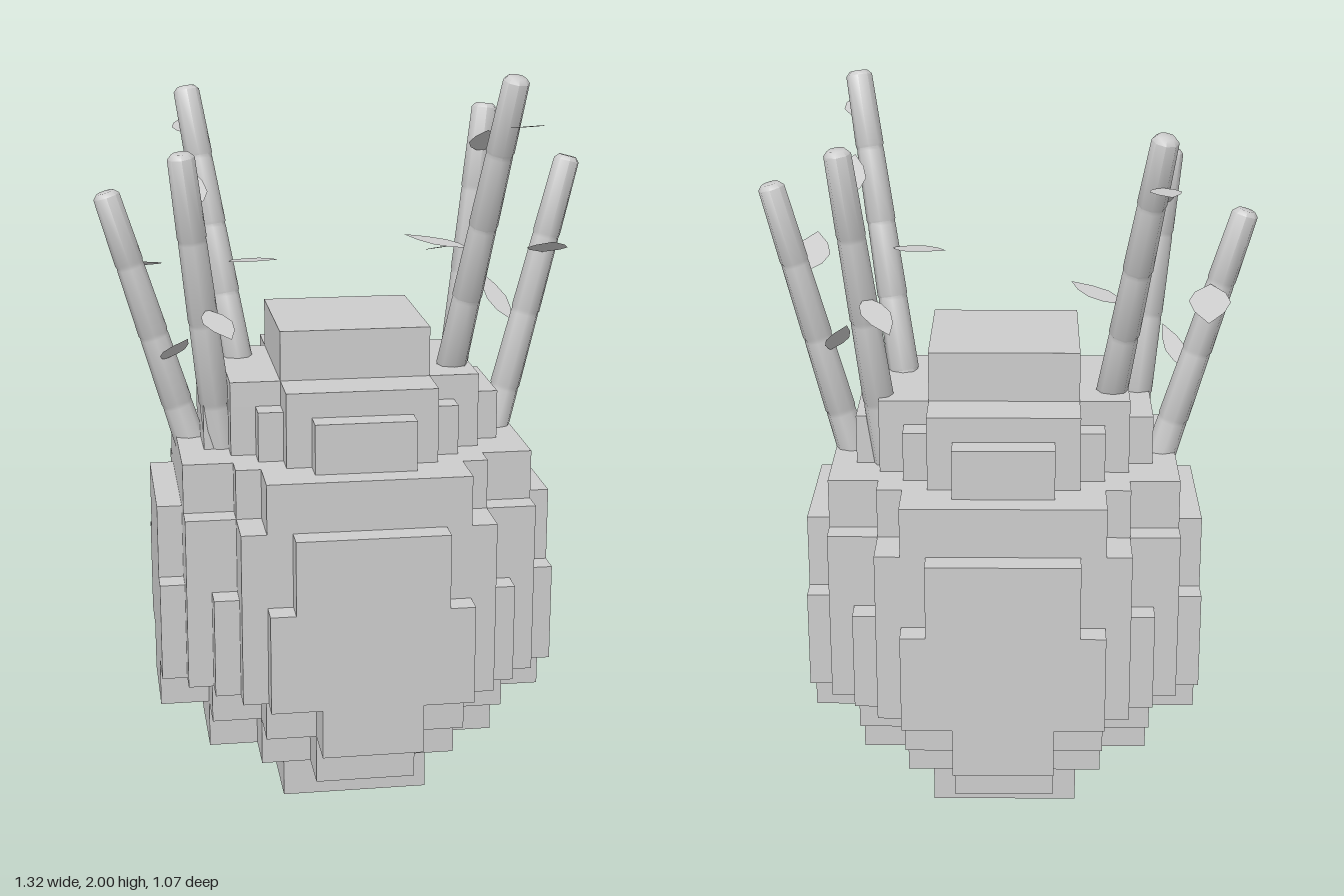
import * as THREE from 'three';
import { toCreasedNormals } from 'three/addons/utils/BufferGeometryUtils.js';

const VOXEL = 1 / 15;
const EGG_X = 0.0075;

// Egg layers: bottom, top, and the stepped outline corners of one quadrant (in voxels)
const LAYERS = [
  [0, 2, [[3, 3]]],
  [2, 4, [[6, 2], [4, 4], [2, 6]]],
  [4, 6, [[8, 2], [6, 4], [4, 6], [2, 8]]],
  [6, 10, [[8, 4], [7, 5], [6, 6], [5, 7], [4, 8]]],
  [10, 13, [[8, 3], [7, 5], [5, 7], [3, 8]]],
  [13, 15, [[7, 4], [5, 5], [4, 7]]],
  [15, 17, [[6, 2], [5, 3], [4, 4], [3, 5], [2, 6]]],
  [17, 18, [[5, 3], [3, 5]]],
  [18, 20, [[3, 3]]],
];

// Stalks: foot, top, foot radius, top radius, leaves [base, tip, width]
const STALKS = [
  { foot: [0.26, 1.0, 0.03], top: [0.41, 1.99, 0.268], leaves: [
    [[0.4, 1.86, 0.26], [0.44, 1.89, 0.44], 0.08],
    [[0.32, 1.53, 0.14], [0.165, 1.55, 0.025], 0.08]] },
  { foot: [-0.25, 1.0, -0.05], top: [-0.395, 1.92, -0.28], leaves: [
    [[-0.385, 1.79, -0.27], [-0.4, 1.81, -0.465], 0.08],
    [[-0.3, 1.455, -0.16], [-0.17, 1.48, -0.025], 0.08]] },
  { foot: [-0.395, 0.9, -0.02], top: [-0.63, 1.675, -0.02], leaves: [
    [[-0.54, 1.48, -0.05], [-0.52, 1.43, -0.25], 0.11],
    [[-0.49, 1.22, 0.01], [-0.43, 1.31, 0.15], 0.065]] },
  { foot: [-0.333, 0.9, 0.09], top: [-0.44, 1.8, 0.17], leaves: [
    [[-0.41, 1.65, 0.14], [-0.4, 1.73, -0.01], 0.08],
    [[-0.38, 1.39, 0.16], [-0.33, 1.35, 0.34], 0.08]] },
  { foot: [0.315, 0.95, -0.115], top: [0.43, 1.87, -0.205], leaves: [
    [[0.41, 1.74, -0.17], [0.4, 1.82, -0.015], 0.08],
    [[0.37, 1.48, -0.18], [0.295, 1.43, -0.36], 0.08]] },
  { foot: [0.405, 0.9, 0], top: [0.625, 1.745, -0.03], leaves: [
    [[0.55, 1.49, 0.02], [0.53, 1.555, 0.215], 0.11],
    [[0.48, 1.29, -0.04], [0.42, 1.4, -0.175], 0.065]] },
];

// One blocky slab of the egg, its quadrant outline turned four times
function slabGeometry(bottom, top, corners) {
  const quadrant = [];
  corners.forEach(([x, y], i) => {
    quadrant.push([x, y]);
    if (i < corners.length - 1) quadrant.push([corners[i + 1][0], y]);
  });
  const points = [];
  for (let q = 0; q < 4; q++) {
    for (let [x, y] of quadrant) {
      for (let k = 0; k < q; k++) [x, y] = [-y, x];
      points.push(new THREE.Vector2(x * VOXEL, y * VOXEL));
    }
  }
  const geometry = new THREE.ExtrudeGeometry(new THREE.Shape(points), {
    depth: (top - bottom) * VOXEL, bevelEnabled: false,
  });
  return geometry.rotateX(-Math.PI / 2).translate(0, bottom * VOXEL, 0);
}

// Jointed cane: slightly tapered, pinched at each node, chamfered tip
function stalkGeometry(length) {
  const joints = Math.round(length / 0.21);
  const profile = [new THREE.Vector2(0, 0)];
  for (let i = 0; i < joints; i++) {
    const radius = 0.044 - 0.007 * i / joints;
    const y0 = length * i / joints;
    const y1 = length * (i + 1) / joints;
    profile.push(new THREE.Vector2(radius, y0 + 0.004));
    profile.push(new THREE.Vector2(radius - 0.003, y1 - 0.012));
    if (i < joints - 1) profile.push(new THREE.Vector2(radius - 0.004, y1 - 0.002));
  }
  profile.push(new THREE.Vector2(0.024, length), new THREE.Vector2(0, length));
  return toCreasedNormals(new THREE.LatheGeometry(profile, 8), 0.9);
}

// Flat pointed leaf running from base to tip
function leafGeometry(base, tip, width) {
  const length = base.distanceTo(tip);
  const half = width / 2;
  const shape = new THREE.Shape([
    [0, 0], [half * 0.75, 0.22], [half, 0.45], [half * 0.7, 0.72],
    [0, 1], [-half * 0.7, 0.72], [-half, 0.45], [-half * 0.75, 0.22],
  ].map(([x, t]) => new THREE.Vector2(x, t * length)));
  const along = tip.clone().sub(base).normalize();
  const across = new THREE.Vector3().crossVectors(along, new THREE.Vector3(0, 1, 0)).normalize();
  const normal = new THREE.Vector3().crossVectors(across, along);
  const frame = new THREE.Matrix4().makeBasis(across, along, normal).setPosition(base);
  return new THREE.ShapeGeometry(shape).applyMatrix4(frame);
}

export function createModel() {
  const grey = new THREE.MeshStandardMaterial({ color: 0xcccccc, side: THREE.DoubleSide });
  grey.name = 'grey';
  const model = new THREE.Group();
  model.name = 'eggWithStalks';

  const egg = new THREE.Group();
  egg.name = 'egg';
  egg.position.x = EGG_X;
  for (const [bottom, top, corners] of LAYERS) {
    const slab = new THREE.Mesh(slabGeometry(bottom, top, corners), grey);
    slab.name = 'eggLayer';
    egg.add(slab);
  }
  model.add(egg);

  for (const { foot, top, leaves } of STALKS) {
    const group = new THREE.Group();
    group.name = 'leafyStalk';
    const start = new THREE.Vector3(...foot);
    const axis = new THREE.Vector3(...top).sub(start);
    const stalk = new THREE.Mesh(stalkGeometry(axis.length()), grey);
    stalk.name = 'stalk';
    stalk.position.copy(start);
    stalk.quaternion.setFromUnitVectors(new THREE.Vector3(0, 1, 0), axis.normalize());
    group.add(stalk);
    for (const [base, tip, width] of leaves) {
      const leaf = new THREE.Mesh(
        leafGeometry(new THREE.Vector3(...base), new THREE.Vector3(...tip), width), grey);
      leaf.name = 'leaf';
      group.add(leaf);
    }
    model.add(group);
  }
  return model;
}
